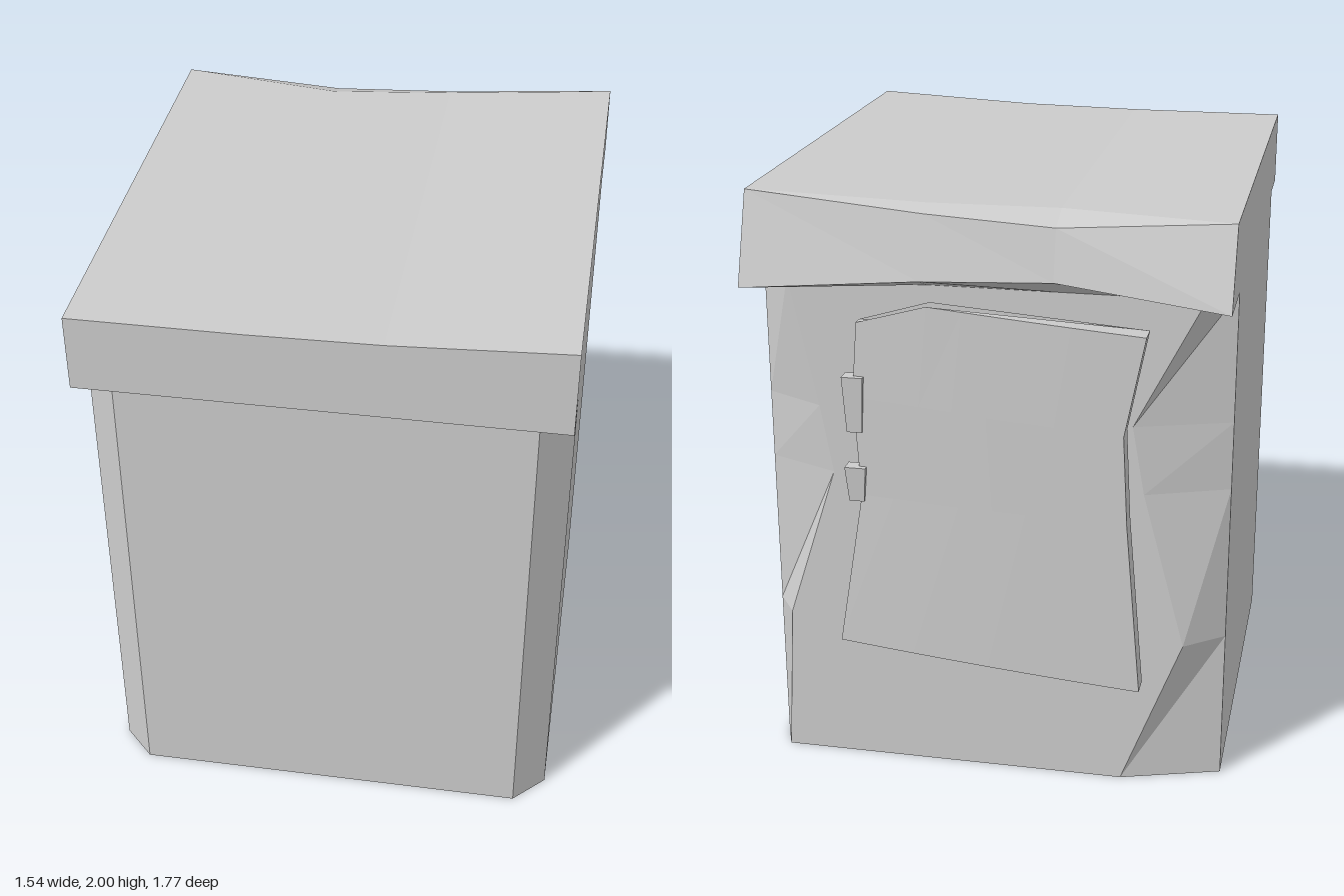
import * as THREE from 'three';

const grey = new THREE.MeshStandardMaterial({ color: 0xcccccc, side: THREE.DoubleSide });
grey.name = 'plain grey';

// Skin a list of equal-length rings of [x, y, z] points, with optional end caps.
function loft(name, rings, capped) {
  const pos = [];
  const tri = (a, b, c) => pos.push(...a, ...b, ...c);
  const n = rings[0].length;
  for (let r = 0; r < rings.length - 1; r++) {
    for (let i = 0; i < n; i++) {
      const j = (i + 1) % n;
      const [a, b, c, d] = [rings[r][i], rings[r][j], rings[r + 1][j], rings[r + 1][i]];
      tri(a, b, c);
      tri(a, c, d);
    }
  }
  if (capped) {
    const first = rings[0], last = rings[rings.length - 1];
    for (let i = 1; i < n - 1; i++) {
      tri(first[0], first[i + 1], first[i]);
      tri(last[0], last[i], last[i + 1]);
    }
  }
  const geometry = new THREE.BufferGeometry();
  geometry.setAttribute('position', new THREE.Float32BufferAttribute(pos, 3));
  geometry.computeVertexNormals();
  const mesh = new THREE.Mesh(geometry, grey);
  mesh.name = name;
  return mesh;
}

// Open-bottomed body: chamfered front corners, pinched and dented back corners.
function makeBody() {
  // y, back edge at +x, back edge at -x
  const levels = [
    [0, 0.73, -0.44], [0.52, 0.7, -0.64], [1.05, 0.53, -0.5],
    [1.28, 0.57, -0.46], [1.71, 0.66, -0.68],
  ];
  return loft('body', levels.map(([y, xp, xm]) => [
    [-0.665, y, 0.805], [0.665, y, 0.805], [0.77, y, 0.7], [0.77, y, -0.635],
    [xp, y, -0.738], [xm, y, -0.738], [-0.77, y, -0.635], [-0.77, y, 0.7],
  ]), false);
}

// Sagging lid with an overhang and a sloped, dented back face.
function makeLid() {
  // x, top y, crease z, back top z and y, back bottom z and y
  const sections = [
    [-0.77, 1.965, -0.62, -0.78, 1.965, -0.885, 1.71],
    [-0.22, 1.965, -0.69, -0.79, 1.927, -0.83, 1.765],
    [0.2, 1.972, -0.73, -0.785, 1.95, -0.845, 1.75],
    [0.77, 2, -0.775, -0.78, 2, -0.885, 1.71],
  ];
  return loft('lid', sections.map(([x, y, zc, zt, yt, zb, yb]) => [
    [x, y, 0.885], [x, 1.71, 0.885], [x, 1.71, -0.74],
    [x, yb, zb], [x, yt, zt], [x, y, zc],
  ]), true);
}

// Warped door panel on the back, gently curved across its width.
function makeDoor() {
  // y and x of the +x edge, y and x of the -x edge, extra height near the hinge
  const rows = [
    [0.46, 0.51, 0.39, -0.51, 0], [1.0, 0.42, 0.98, -0.46, 0],
    [1.34, 0.44, 1.28, -0.445, 0], [1.59, 0.42, 1.61, -0.51, 0.065],
  ];
  const steps = 8;
  return loft('backDoor', rows.map(([yp, xp, ym, xm, bump]) => {
    const at = (t, z) => [
      xp + (xm - xp) * t,
      yp + (ym - yp) * t + bump * (t < 0.25 ? t / 0.25 : (1 - t) / 0.75),
      z,
    ];
    const ring = [];
    for (let i = steps; i >= 0; i--) ring.push(at(i / steps, -0.76));
    for (let i = 0; i <= steps; i++) {
      const t = i / steps;
      ring.push(at(t, -0.795 - 0.04 * (1 - (1 - t) ** 2)));
    }
    return ring;
  }), true);
}

// Tapered hinge block, wider at the top.
function makeHinge(y0, y1, x) {
  const ring = (y, w, z) => [
    [x - w, y, -0.765], [x + w, y, -0.765], [x + w, y, z], [x - w, y, z],
  ];
  return loft('hinge', [ring(y0, 0.025, -0.805), ring(y1, 0.035, -0.815)], true);
}

export function createModel() {
  const model = new THREE.Group();
  model.name = 'lidded box';
  model.add(makeBody(), makeLid(), makeDoor(),
    makeHinge(1.22, 1.41, 0.435), makeHinge(0.98, 1.1, 0.435));
  return model;
}
